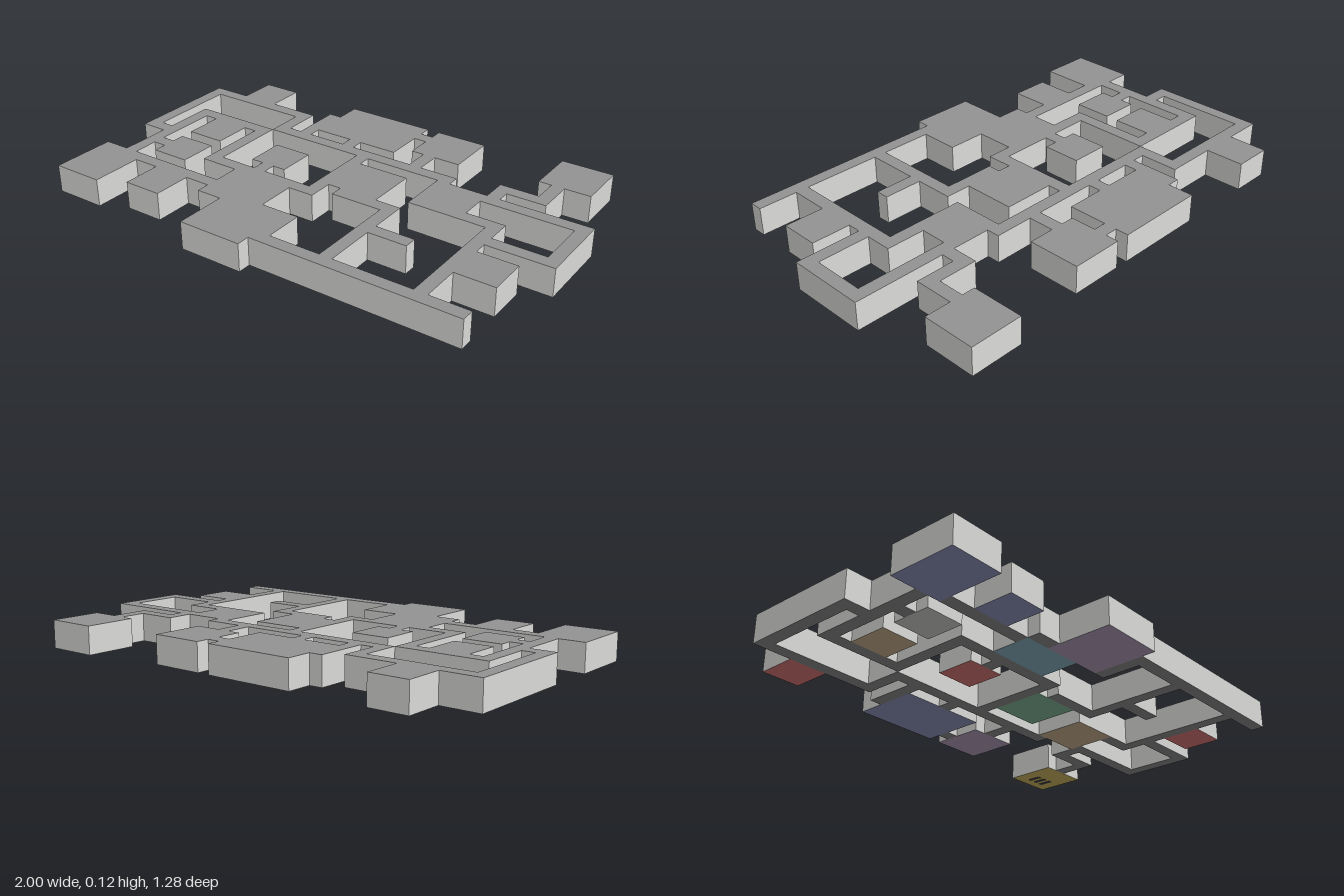
import * as THREE from 'three';

const CELL = 2 / 36;    // the plan is 36 x 23 cells
const HEIGHT = 0.12;
const BASE = 0.002;     // floors sit this far up, so the step marks reach y = 0

function paint(name, color) {
  const m = new THREE.MeshStandardMaterial({ color });
  m.name = name;
  return m;
}

export function createModel() {
  const group = new THREE.Group();
  group.name = 'floorPlan';

  const wall = paint('wall pale grey', 0xdddddb);
  const grey = paint('roof and corridor grey', 0x949494);
  const dark = paint('step mark dark grey', 0x505050);
  const floors = {
    corridor: grey,
    pale: wall,
    red: paint('floor red', 0xee8482),
    blue: paint('floor blue', 0x989cc8),
    green: paint('floor green', 0x8cc4a0),
    teal: paint('floor teal', 0x90bcce),
    purple: paint('floor purple', 0xbca6c6),
    brown: paint('floor tan', 0xd8bc98),
    yellow: paint('floor yellow', 0xdcc468),
  };

  // box given by plan columns c0..c1, rows r0..r1 and heights y0..y1
  function block(name, materials, [c0, c1, r0, r1], y0, y1) {
    const geo = new THREE.BoxGeometry((c1 - c0) * CELL, y1 - y0, (r1 - r0) * CELL);
    const mesh = new THREE.Mesh(geo, materials);
    mesh.position.set(((c0 + c1) / 2 - 18) * CELL, (y0 + y1) / 2, ((r0 + r1) / 2 - 11.5) * CELL);
    mesh.name = name;
    group.add(mesh);
  }

  // one walled space with a coloured floor
  function space(name, floor, rect) {
    block(name, [wall, wall, grey, floors[floor], wall, wall], rect, BASE, HEIGHT);
  }

  // rooms
  const rooms = [
    ['yellow', 30, 34, 0, 4],
    ['purple', 20, 24, 1, 5],
    ['blue', 12, 19, 1, 6],
    ['red', 3, 6, 1, 4],
    ['brown', 24, 28, 8, 12],
    ['green', 18, 22, 9, 13],
    ['red', 11, 14, 10, 13],
    ['brown', 4, 7, 9, 12],
    ['pale', 4, 7, 13, 16],
    ['red', 31, 34, 15, 18],
    ['teal', 11, 16, 15, 18],
    ['purple', 13, 18, 18, 23],
    ['blue', 6, 9, 18, 21],
    ['blue', 0, 4, 17, 22],
  ];
  rooms.forEach(([colour, ...r], i) => space(`${colour}Room${i + 1}`, colour, r));

  // step marks on the yellow floor
  for (let i = 0; i < 3; i++) {
    const c = 31.2 + i * 0.7;
    block(`stepMark${i + 1}`, dark, [c, c + 0.3, 0.8, 1.9], 0, BASE);
  }

  // one-cell-wide corridors and doorways
  const corridors = [
    // back right approach
    [31, 32, 4, 7], [28, 31, 6, 7], [28, 29, 7, 8],
    // right loop
    [28, 36, 8, 9], [35, 36, 9, 14], [31, 35, 13, 14],
    [28, 31, 11, 12], [30, 31, 12, 21],
    // front run
    [18, 34, 21, 22], [18, 19, 18, 21], [23, 24, 13, 21], [24, 27, 16, 17], [19, 23, 13, 14],
    // middle loop
    [17, 18, 8, 15], [8, 17, 14, 15], [8, 9, 9, 14], [12, 13, 13, 14],
    // left runs
    [2, 9, 8, 9], [2, 3, 9, 17], [3, 4, 14, 15], [4, 11, 17, 18], [11, 13, 18, 19],
    [0, 1, 5, 13], [1, 2, 12, 13], [0, 10, 4, 5], [9, 10, 5, 8],
    // back run and doorways
    [10, 25, 7, 8], [11, 12, 3, 7], [15, 16, 6, 7], [19, 20, 2, 3], [21, 22, 5, 7],
  ];
  corridors.forEach((r, i) => space(`corridor${i + 1}`, 'corridor', r));

  return group;
}
